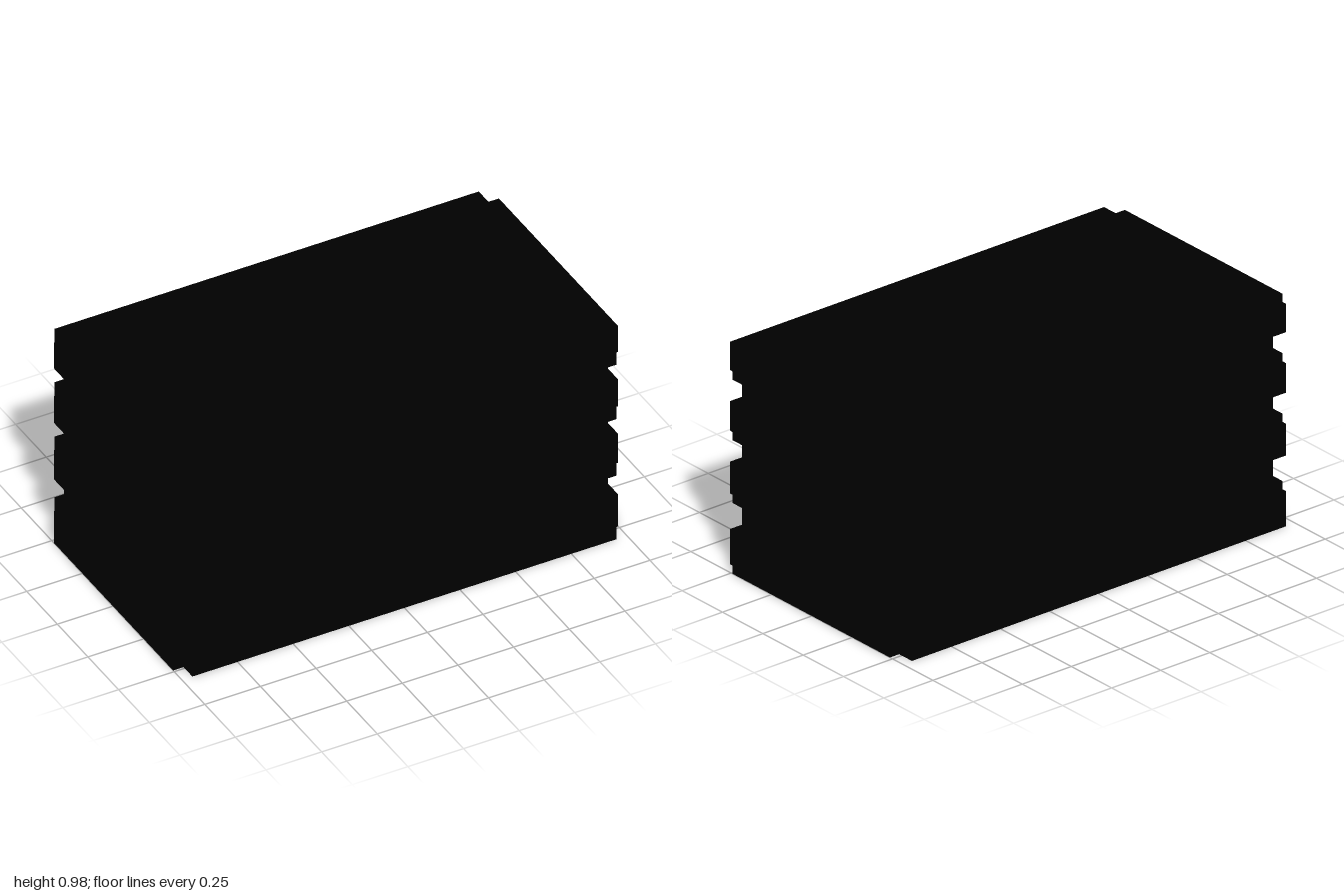
import * as THREE from 'three';

// Plan of the core, and how far the raised bands reach
const CORE_X = 0.953, BAND_X = 1, BAND_Z = 0.563;
const CORE_FRONT = 0.491, CORE_BACK = -0.484;

// Bottom and top height of each raised band
const BANDS = [[0, 0.155], [0.31, 0.45], [0.585, 0.715], [0.85, 0.975]];

// Rectangle with a square notch at every corner (shape y is -z)
function bandShape() {
  const f = -CORE_FRONT, b = -CORE_BACK;
  return new THREE.Shape([
    [-CORE_X, -BAND_Z], [CORE_X, -BAND_Z], [CORE_X, f], [BAND_X, f],
    [BAND_X, b], [CORE_X, b], [CORE_X, BAND_Z], [-CORE_X, BAND_Z],
    [-CORE_X, b], [-BAND_X, b], [-BAND_X, f], [-CORE_X, f],
  ].map(([x, y]) => new THREE.Vector2(x, y)));
}

export function createModel() {
  const group = new THREE.Group();
  group.name = 'slattedCrate';
  const black = new THREE.MeshStandardMaterial({ color: 0x000000 });

  BANDS.forEach(([y0, y1], i) => {
    // Raised band of planks on all four sides
    const geometry = new THREE.ExtrudeGeometry(bandShape(), { depth: y1 - y0, bevelEnabled: false });
    geometry.rotateX(-Math.PI / 2);
    const band = new THREE.Mesh(geometry, black);
    band.position.y = y0;
    band.name = `plankBand${i + 1}`;
    group.add(band);

    // Recessed wall up to the next band
    if (i === BANDS.length - 1) return;
    const height = BANDS[i + 1][0] - y1;
    const wall = new THREE.Mesh(
      new THREE.BoxGeometry(2 * CORE_X, height, CORE_FRONT - CORE_BACK), black);
    wall.position.set(0, y1 + height / 2, (CORE_FRONT + CORE_BACK) / 2);
    wall.name = `recessedWall${i + 1}`;
    group.add(wall);
  });
  return group;
}
